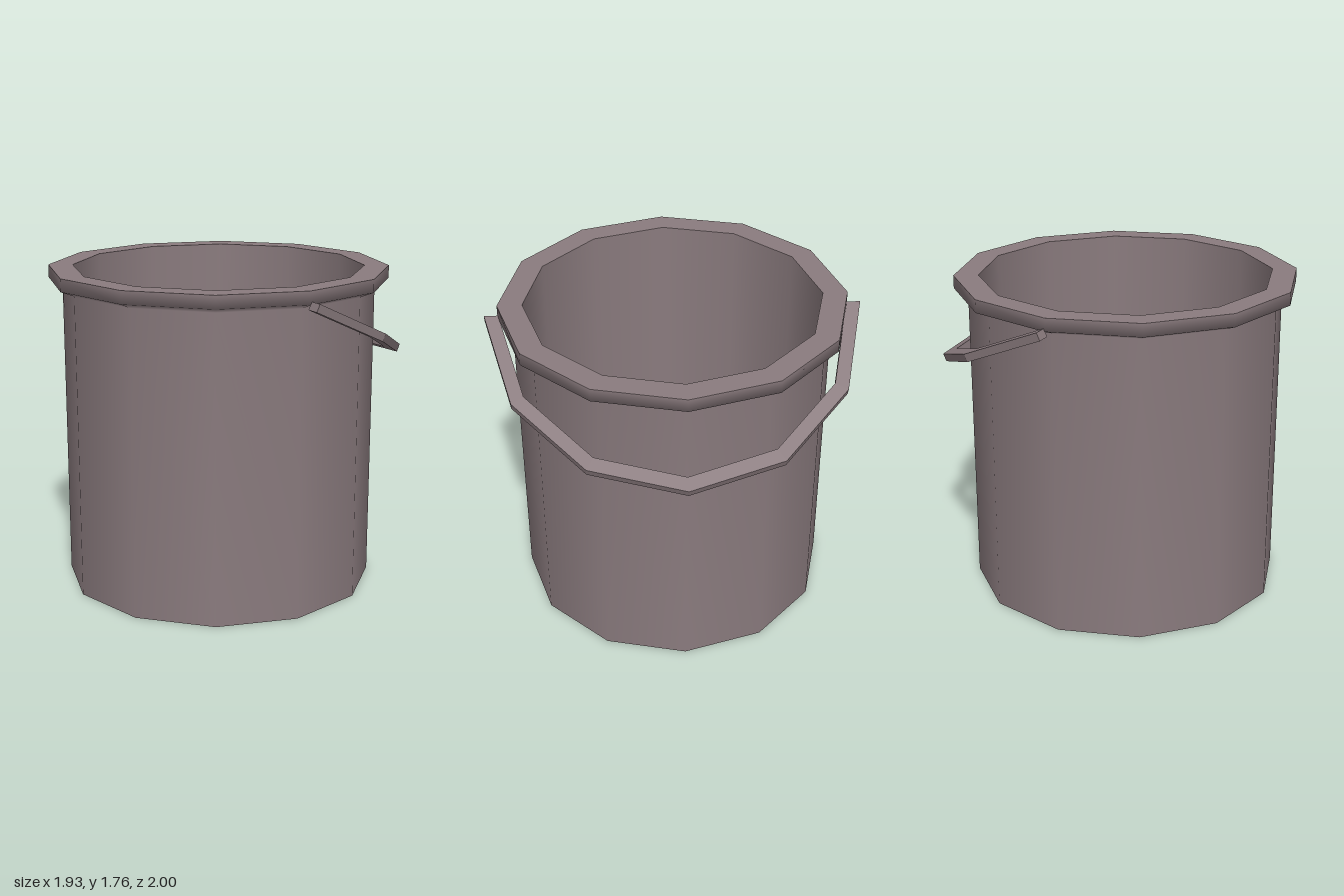
import * as THREE from 'three';

const SIDES = 12;
const CENTRE_X = -0.04;

export function createModel() {
  const group = new THREE.Group();
  group.name = 'bucket';
  const metal = new THREE.MeshStandardMaterial({ color: 0x8a7b7e });
  metal.name = 'dull metal';

  const body = new THREE.Group();
  body.name = 'bucketBody';
  body.position.x = CENTRE_X;
  group.add(body);

  // Each profile is smooth in itself and meets the next at a sharp edge
  const profiles = {
    outerWall: [[0.855, 0], [0.855, 1.66], [0.93, 1.69], [0.93, 1.76]],
    rimTop: [[0.93, 1.76], [0.797, 1.76]],
    innerWall: [[0.797, 1.76], [0.797, 0.06]],
    innerFloor: [[0.797, 0.06], [0, 0.06]],
    base: [[0, 0], [0.855, 0]],
  };
  for (const [name, points] of Object.entries(profiles)) {
    const profile = points.map(([r, y]) => new THREE.Vector2(r, y));
    const mesh = new THREE.Mesh(new THREE.LatheGeometry(profile, SIDES), metal);
    mesh.name = name;
    body.add(mesh);
  }

  // Handle: half of a faceted flat ring, hanging down towards +x
  const stretch = 1.09;
  const thickness = 0.044;
  const arc = (r) => Array.from({ length: SIDES / 2 + 1 }, (_, i) => {
    const a = -Math.PI / 2 + (i * 2 * Math.PI) / SIDES;
    return new THREE.Vector2(Math.cos(a) * r * stretch, Math.sin(a) * r);
  });
  const outline = new THREE.Shape([...arc(1), ...arc(0.925).reverse()]);
  const strip = new THREE.ExtrudeGeometry(outline, { depth: thickness, bevelEnabled: false });
  strip.translate(0, 0, -thickness / 2);
  strip.rotateX(-Math.PI / 2);
  strip.rotateZ(-Math.atan2(0.445, 0.995));
  const handle = new THREE.Mesh(strip, metal);
  handle.name = 'handle';
  handle.position.set(CENTRE_X, 1.685, 0);
  group.add(handle);

  return group;
}
